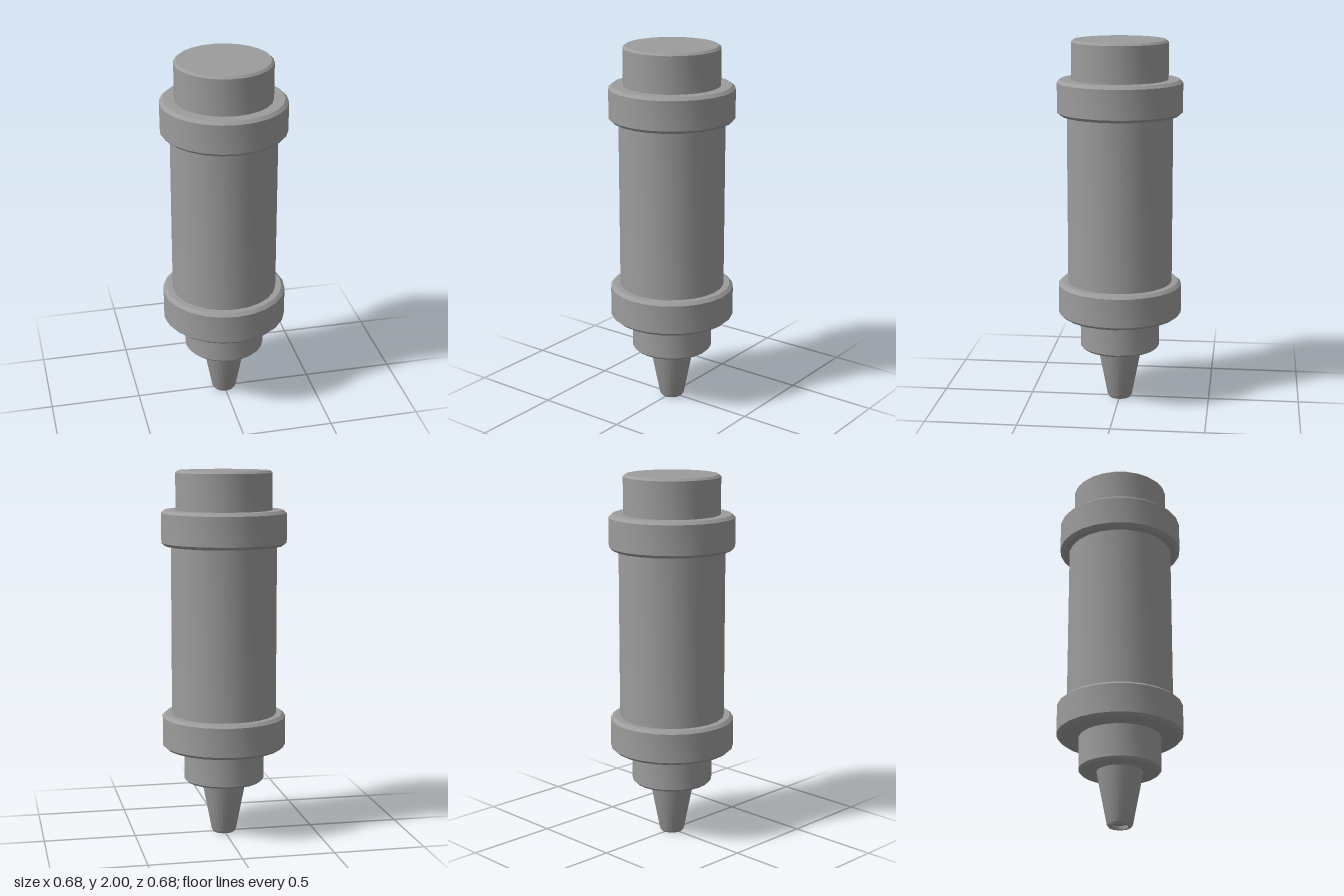
import * as THREE from 'three';
import { toCreasedNormals } from 'three/addons/utils/BufferGeometryUtils.js';

const SIDES = 24;

export function createModel() {
  const model = new THREE.Group();
  model.name = 'capsuleInjector';
  const material = new THREE.MeshStandardMaterial({ color: 0x9c9c9c });

  // Turned part: profile of [radius, y] points, listed from bottom to top
  function turned(name, profile) {
    const points = profile.map(([r, y]) => new THREE.Vector2(r, y));
    const geometry = toCreasedNormals(new THREE.LatheGeometry(points, SIDES), 0.5);
    const mesh = new THREE.Mesh(geometry, material);
    mesh.name = name;
    model.add(mesh);
  }

  // Clamp ring with chamfered rims
  function ring(name, bottom, top) {
    const r = 0.339, c = 0.018, h = 0.016;
    turned(name, [
      [0, bottom], [r - c, bottom], [r, bottom + h],
      [r, top - h], [r - c, top], [0, top],
    ]);
  }

  // Tapered tip with a shallow recess in its end
  turned('nozzle', [
    [0, 0.02], [0.045, 0.02], [0.045, 0], [0.059, 0],
    [0.068, 0.012], [0.124, 0.3],
  ]);

  // Short collar between tip and lower ring
  turned('collar', [[0, 0.298], [0.208, 0.298], [0.22, 0.31], [0.22, 0.488]]);

  ring('lowerRing', 0.488, 0.678);

  // Main barrel
  turned('barrel', [[0.287, 0.678], [0.287, 1.6]]);

  ring('upperRing', 1.6, 1.79);

  // End cap with chamfered top edge
  turned('endCap', [[0.261, 1.79], [0.261, 1.988], [0.248, 2], [0, 2]]);

  return model;
}
